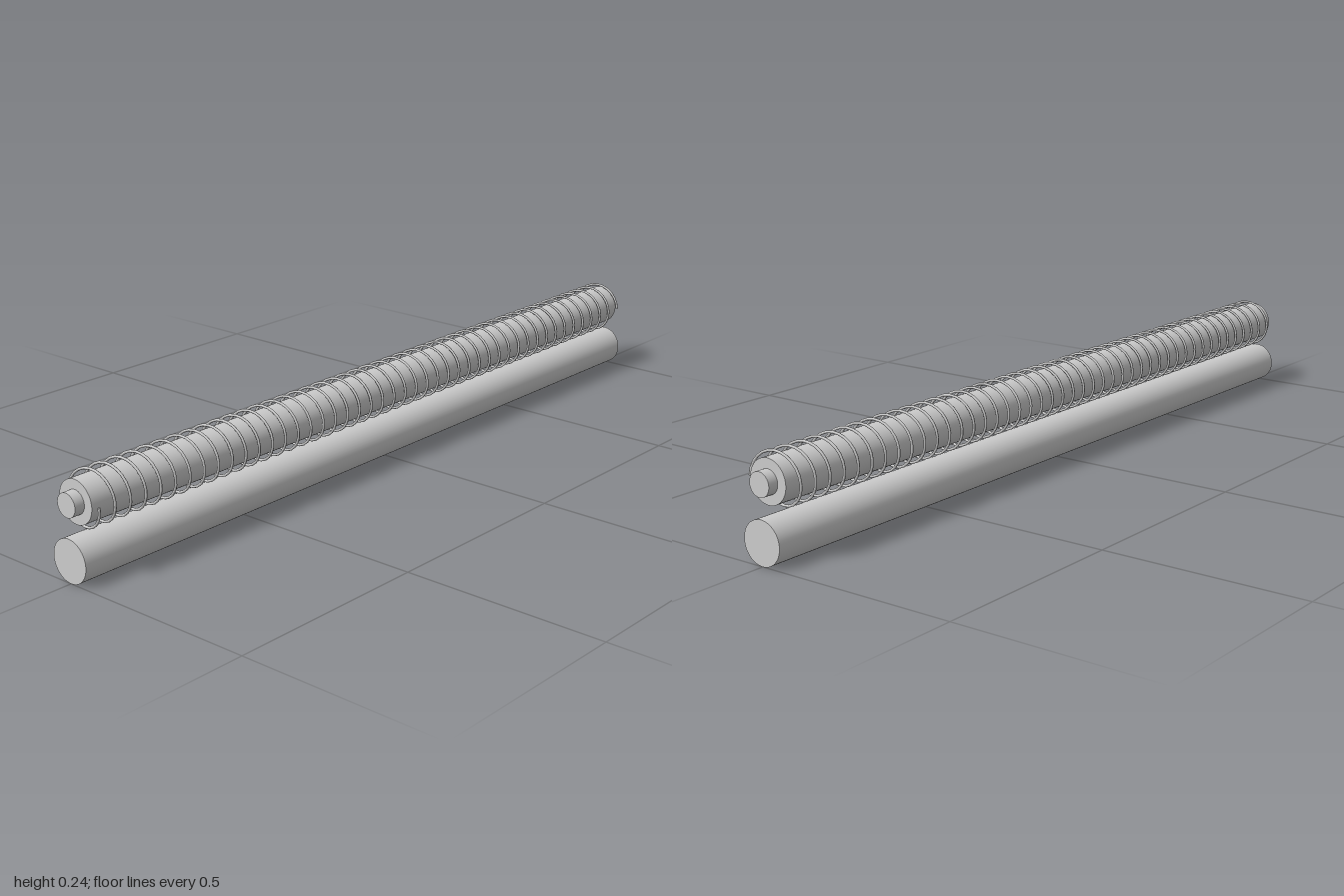
import * as THREE from 'three';

const ROD_R = 0.051, COIL_R = 0.062, WIRE_R = 0.0032;
const LOW_Y = 0.052, HIGH_Y = 0.178;
const TURNS = 45, COIL_HALF = 0.965;

// Helical path along z
class Helix extends THREE.Curve {
  getPoint(t, target = new THREE.Vector3()) {
    const a = t * TURNS * Math.PI * 2;
    return target.set(
      COIL_R * Math.cos(a),
      COIL_R * Math.sin(a),
      (2 * t - 1) * COIL_HALF
    );
  }
}

export function createModel() {
  const group = new THREE.Group();
  const material = new THREE.MeshStandardMaterial({ color: 0xcccccc });

  const add = (name, geometry, y, z = 0) => {
    const mesh = new THREE.Mesh(geometry, material);
    mesh.name = name;
    mesh.position.set(0, y, z);
    group.add(mesh);
  };
  const rod = (radius, length) =>
    new THREE.CylinderGeometry(radius, radius, length, 48).rotateX(Math.PI / 2);

  // Plain lower rod
  add('lowerRod', rod(ROD_R, 2), LOW_Y);

  // Upper rod with a narrow pin at each end
  add('upperRod', rod(ROD_R, 1.95), HIGH_Y);
  for (const side of [1, -1]) {
    add(side > 0 ? 'frontPin' : 'backPin', rod(0.028, 0.03), HIGH_Y, side * 0.985);
  }

  // Wire coil wound loosely around the upper rod
  const path = new Helix();
  path.arcLengthDivisions = TURNS * 24;
  add('coil', new THREE.TubeGeometry(path, TURNS * 24, WIRE_R, 8), HIGH_Y);

  // Flat caps closing the wire ends
  for (const t of [0, 1]) {
    const cap = new THREE.CircleGeometry(WIRE_R, 8);
    const dir = path.getTangent(t).multiplyScalar(t ? 1 : -1);
    cap.applyQuaternion(new THREE.Quaternion().setFromUnitVectors(new THREE.Vector3(0, 0, 1), dir));
    const p = path.getPoint(t);
    cap.translate(p.x, p.y, p.z);
    add(t ? 'frontWireEnd' : 'backWireEnd', cap, HIGH_Y);
  }

  return group;
}
